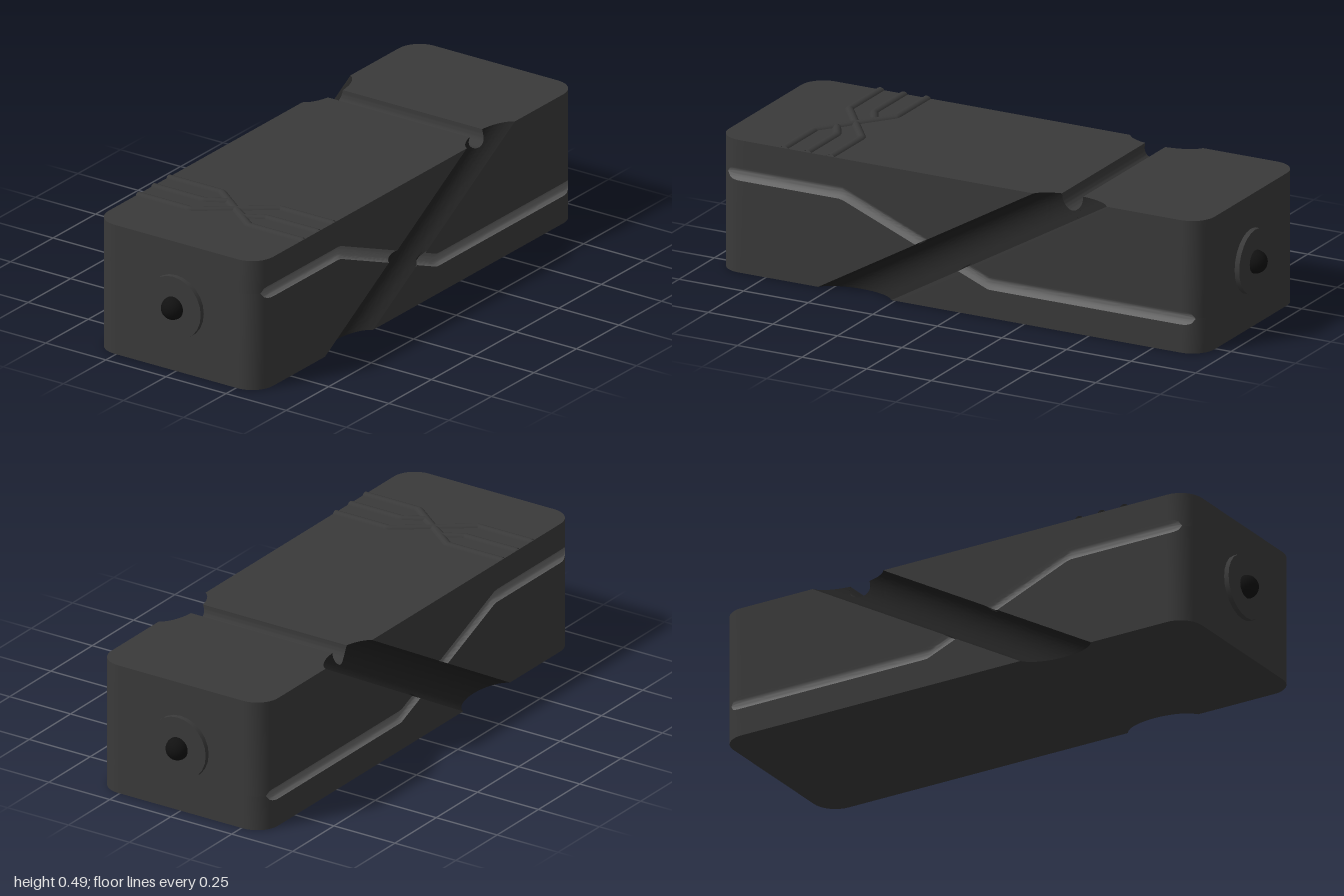
import * as THREE from 'three';
import { toCreasedNormals } from 'three/addons/utils/BufferGeometryUtils.js';

const H = 0.477, X = 0.94, Z = 0.342, R = 0.085;      // body height, half length, half depth, corner radius
const K = 1.748, MID = -0.4065, HALF = 0.1415;        // slanted groove: x per y, centre and half width at y = 0
const NX = 0.41, NY = 0.464, NR = 0.04;               // round notch across the top

const lerp = THREE.MathUtils.lerp;
const range = (a, b, n) => Array.from({ length: n + 1 }, (_, i) => lerp(a, b, i / n));
const clamp = THREE.MathUtils.clamp;

// Depth of the plain side wall, rounded at the vertical corners
function wall(x) {
  const d = Math.max(0, Math.abs(x) - (X - R));
  return Z - R + Math.sqrt(Math.max(0, R * R - d * d));
}
// Height of the bent channel's centre line
const path = x => lerp(0.355, 0.125, clamp((x + 0.46) / 0.57, 0, 1));
// Half height of the channel where it breaks through a wall of depth z
const channelHalf = z => Math.sqrt(Math.max(0, 0.027 ** 2 - (0.3543 - z) ** 2));

// Depth of the carved side at any point
function depth(x, y) {
  let z = wall(x);
  const p = (x - MID - K * y) / Math.hypot(1, K), q = y - path(x);
  if (Math.abs(p) < 0.0731) z = Math.min(z, 0.3621 - Math.sqrt(0.0731 ** 2 - p * p));
  if (Math.abs(q) < 0.027) z = Math.min(z, 0.3543 - Math.sqrt(0.027 ** 2 - q * q));
  return z;
}

// Surface through columns of points; mirror flips it to the back
function grid(cols, mirror = false) {
  const pos = [];
  const put = (...pts) => {
    if (mirror) pts.reverse();
    for (const [x, y, z] of pts) pos.push(x, y, mirror ? -z : z);
  };
  for (let i = 0; i + 1 < cols.length; i++) {
    for (let j = 0; j + 1 < cols[i].length; j++) {
      const a = cols[i][j], b = cols[i + 1][j], c = cols[i + 1][j + 1], d = cols[i][j + 1];
      put(a, b, c);
      put(a, c, d);
    }
  }
  const g = new THREE.BufferGeometry();
  g.setAttribute('position', new THREE.Float32BufferAttribute(pos, 3));
  return toCreasedNormals(g, 0.6);
}

export function createModel() {
  const model = new THREE.Group();
  model.name = 'carvedBlock';
  const mat = color => new THREE.MeshStandardMaterial({ color, side: THREE.DoubleSide });
  const body = mat(0x3a3a3a), dark = mat(0x222222), light = mat(0x686868), black = mat(0x111111);
  const add = (name, geometry, material) => {
    const m = new THREE.Mesh(geometry, material);
    m.name = name;
    model.add(m);
    return m;
  };

  // Stations along x with the top height there, including the notch
  const flat = xs => xs.map(x => [x, H]);
  const corner = range(0, Math.PI / 2, 10).map(a => X - R + R * Math.sin(a));
  const cornerL = corner.map(x => -x).reverse();
  const top0 = MID + K * H - HALF, top1 = MID + K * H + HALF;
  const grooveStations = [
    ...flat(range(MID - HALF, MID + HALF, 20)),
    ...flat(range(MID + HALF, top0, 40)),
    ...flat(range(top0, NX - NR, 10)),
    ...range(Math.PI, 2 * Math.PI, 20).map(a => [NX + NR * Math.cos(a), NY + NR * Math.sin(a)]),
    ...flat(range(NX + NR, top1, 12)),
  ];
  const stations = [...flat(cornerL), ...grooveStations, ...flat(corner)];

  // Top, bottom and ends as one band around the block
  const outline = [...stations.map(([x]) => [x, 0]), ...[...stations].reverse(), [-X, 0]];
  add('topBottomAndEnds', grid(outline.map(([x, y]) => {
    const z = depth(x, y);
    return [[x, y, -z], [x, y, z]];
  })), body);

  // Columns of the flat side areas left and right of the slanted groove: x at bottom and at top
  const vertical = xs => xs.map(x => [x, x]);
  const leftCols = [...vertical(cornerL),
    ...range(0, 1, 48).map(t => [lerp(R - X, MID - HALF, t), lerp(R - X, top0, t)])];
  const rightCols = [
    ...range(0, 1, 48).map(t => [lerp(MID + HALF, X - R, t), lerp(top1, X - R, t)]),
    ...vertical(corner)];
  const band = (cols, rowsOf) => cols.map(([x0, x1]) => {
    const xAt = y => lerp(x0, x1, y / H);
    const w = channelHalf(wall(x0));
    const cross = off => {
      let y = H / 2;
      for (let i = 0; i < 60; i++) y = path(xAt(y)) + off;
      return y;
    };
    return rowsOf(cross, w).map(y => [xAt(y), y, depth(xAt(y), y)]);
  });

  for (const [side, mirror] of [['front', false], ['back', true]]) {
    for (const [part, cols] of [['Right', leftCols], ['Left', rightCols]]) {
      add(side + part + 'LowerWall', grid(band(cols, (c, w) => [0, c(-w)]), mirror), body);
      add(side + part + 'UpperWall', grid(band(cols, (c, w) => [c(w), H]), mirror), body);
      add(side + part + 'Channel', grid(band(cols, (c, w) => range(-1, 1, 12).map(f => c(f * w))), mirror), light);
    }
    // Slanted round groove
    const groove = grooveStations.map(([x, t]) => {
      const lo = Math.max(0, (x - MID - HALF) / K);
      const hi = Math.max(lo, Math.min(t, (x - MID + HALF) / K));
      return range(lo, hi, 28).map(y => [x, y, depth(x, y)]);
    });
    add(side + 'SlantedGroove', grid(groove, mirror), dark);
  }

  // Crossing cords let into the top
  const cords = [
    [[-0.68, -Z], [-0.68, -0.12], [-0.5, 0.12], [-0.5, Z]],
    [[-0.5, -Z], [-0.5, -0.12], [-0.68, 0.12], [-0.68, Z]],
    [[-0.59, -Z], [-0.59, -0.13], [-0.55, -0.06], [-0.63, 0.06], [-0.59, 0.13], [-0.59, Z]],
  ];
  for (const pts of cords) {
    const curve = new THREE.CurvePath();
    const v = pts.map(([x, z]) => new THREE.Vector3(x, 0.469, z));
    for (let i = 0; i + 1 < v.length; i++) curve.add(new THREE.LineCurve3(v[i], v[i + 1]));
    add('topCord', new THREE.TubeGeometry(curve, 60, 0.017, 12), body);
  }

  // Round plate and ball on each end
  for (const s of [-1, 1]) {
    const plate = add('endPlate', new THREE.CylinderGeometry(0.115, 0.115, 0.04, 24), body);
    plate.rotation.z = Math.PI / 2;
    plate.position.set(s * 0.938, 0.24, 0);
    add('endBall', new THREE.SphereGeometry(0.041, 24, 16), black).position.set(s * 0.959, 0.24, 0);
  }
  return model;
}
